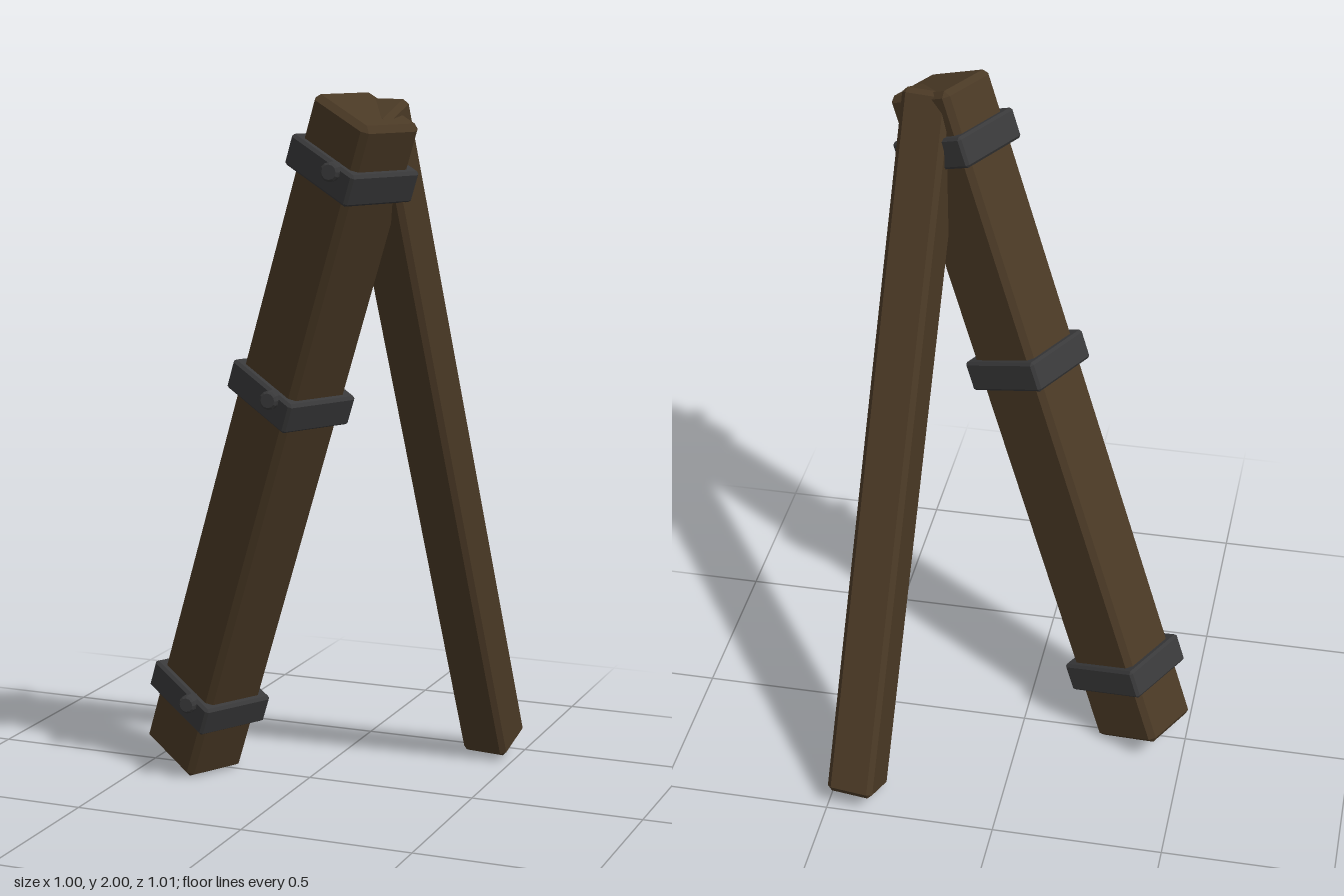
import * as THREE from 'three';
import { ConvexGeometry } from 'three/addons/geometries/ConvexGeometry.js';

const wood = new THREE.MeshStandardMaterial({ name: 'dark wood', color: 0x4a3925 });
const iron = new THREE.MeshStandardMaterial({ name: 'dark iron', color: 0x39393a });
const rad = THREE.MathUtils.degToRad;

// Box with every edge cut flat by b: three points near each corner
function chamferedBox(w, h, d, b) {
  const points = [];
  for (const x of [-w / 2, w / 2])
    for (const y of [-h / 2, h / 2])
      for (const z of [-d / 2, d / 2]) {
        const sx = Math.sign(x) * b, sy = Math.sign(y) * b, sz = Math.sign(z) * b;
        points.push(
          new THREE.Vector3(x, y - sy, z - sz),
          new THREE.Vector3(x - sx, y, z - sz),
          new THREE.Vector3(x - sx, y - sy, z)
        );
      }
  return new ConvexGeometry(points);
}

function addMesh(parent, name, geometry, material) {
  const mesh = new THREE.Mesh(geometry, material);
  mesh.name = name;
  parent.add(mesh);
  return mesh;
}

export function createModel() {
  const model = new THREE.Group();
  model.name = 'bracedBeam';

  // Thick leaning beam
  const post = new THREE.Group();
  post.name = 'leaningPost';
  post.position.set(-0.03, 1, 0.185);
  post.rotation.set(0, rad(-28), rad(-22), 'YZX');
  model.add(post);
  addMesh(post, 'beam', chamferedBox(0.23, 2.08, 0.197, 0.016), wood);

  // Iron bands around the beam, each with a bolt facing the front
  const bandGeometry = chamferedBox(0.27, 0.09, 0.237, 0.008);
  const boltGeometry = new THREE.LatheGeometry(
    [[0, -0.03], [0.026, -0.03], [0.026, 0.02], [0.02, 0.026], [0, 0.026]]
      .map(([r, y]) => new THREE.Vector2(r, y)), 12).toNonIndexed();
  boltGeometry.computeVertexNormals();
  boltGeometry.rotateX(Math.PI / 2);
  post.updateMatrix();
  for (const t of [-0.82, 0.19, 0.87]) {
    addMesh(post, 'band', bandGeometry, iron).position.y = t;
    const bolt = addMesh(model, 'bolt', boltGeometry, iron);
    bolt.position.set(0, t, 0).applyMatrix4(post.matrix);
    bolt.position.z += 0.139;
  }

  // Thinner brace leaning in from behind
  const brace = addMesh(model, 'brace', chamferedBox(0.14, 2.08, 0.15, 0.014), wood);
  brace.position.set(0.37, 1, -0.053);
  brace.rotation.set(rad(22), rad(-7.6), 0, 'YXZ');

  return model;
}
